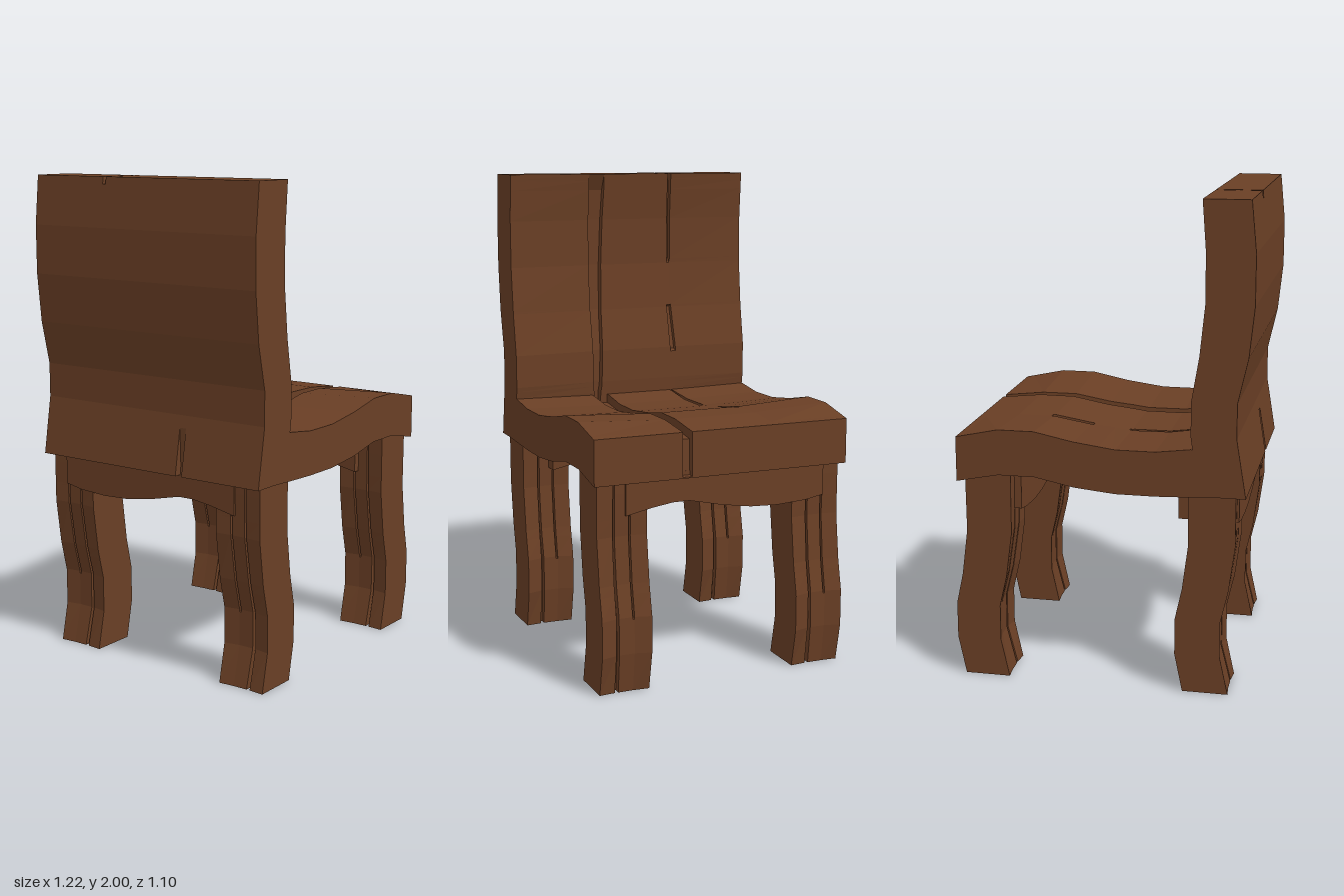
import * as THREE from 'three';

const wood = new THREE.MeshStandardMaterial({ color: 0x6a3f25, flatShading: true });

// Piecewise-linear lookup; rows are [u, ...values], u increasing
function sample(rows, u) {
  if (u <= rows[0][0]) return rows[0].slice(1);
  for (let i = 1; i < rows.length; i++) {
    const a = rows[i - 1], b = rows[i];
    if (u <= b[0]) {
      const t = (u - a[0]) / (b[0] - a[0]);
      return a.slice(1).map((v, k) => v + (b[k + 1] - v) * t);
    }
  }
  return rows[rows.length - 1].slice(1);
}

// Curved board with carved grooves.
// stations: [u, ax, ay, bx, by], a = front/top face point, b = rear/underside point
// grooves: sorted by z, each a list of [u, z0, z1, depthA, depthB] (depths as part of thickness)
// dip: [u, dipA, dipB], hollowing of the faces towards the grooves
function board(name, half, stations, grooves, dip) {
  const us = [...new Set([stations, dip, ...grooves].flat().map(r => r[0]))]
    .filter(u => u >= stations[0][0] && u <= stations[stations.length - 1][0])
    .sort((p, q) => p - q);
  const rows = us.map(u => {
    const [ax, ay, bx, by] = sample(stations, u);
    const [pa, pb] = sample(dip, u);
    const section = [[-half, 0, 0]];
    for (const g of grooves) {
      const [z0, z1, da, db] = sample(g, u);
      section.push([z0, pa, pb], [z0, pa + da, pb + db], [z1, pa + da, pb + db], [z1, pa, pb]);
    }
    section.push([half, 0, 0]);
    const at = (f, z) => new THREE.Vector3(ax + (bx - ax) * f, ay + (by - ay) * f, z);
    return { a: section.map(s => at(s[1], s[0])), b: section.map(s => at(1 - s[2], s[0])) };
  });
  const pos = [];
  const tri = (p, q, r) => {
    const n = q.clone().sub(p).cross(r.clone().sub(p));
    if (n.length() > 1e-9) for (const v of [p, q, r]) pos.push(v.x, v.y, v.z);
  };
  const quad = (p, q, r, s) => { tri(p, q, r); tri(p, r, s); };
  const first = rows[0], last = rows[rows.length - 1], n = first.a.length;
  for (let s = 0; s < rows.length - 1; s++) {
    const c = rows[s], d = rows[s + 1];
    for (let i = 0; i < n - 1; i++) {
      quad(c.a[i], c.a[i + 1], d.a[i + 1], d.a[i]);
      quad(c.b[i + 1], c.b[i], d.b[i], d.b[i + 1]);
    }
    quad(c.b[0], c.a[0], d.a[0], d.b[0]);
    quad(c.a[n - 1], c.b[n - 1], d.b[n - 1], d.a[n - 1]);
  }
  for (let i = 0; i < n - 1; i++) {
    quad(first.a[i + 1], first.a[i], first.b[i], first.b[i + 1]);
    quad(last.a[i], last.a[i + 1], last.b[i + 1], last.b[i]);
  }
  const geo = new THREE.BufferGeometry();
  geo.setAttribute('position', new THREE.Float32BufferAttribute(pos, 3));
  geo.computeVertexNormals();
  const mesh = new THREE.Mesh(geo, wood);
  mesh.name = name;
  return mesh;
}

// Upright boards run downwards, so u = -y
const upright = rows => rows.map(([y, xa, xb]) => [-y, xa, y, xb, y]);
const down = rows => rows.map(([y, ...rest]) => [-y, ...rest]);

function makeBackrest() {
  return board('backrest', 0.55,
    upright([[2, -0.405, -0.59], [1.8, -0.42, -0.61], [1.6, -0.42, -0.61], [1.4, -0.4, -0.59],
      [1.22, -0.37, -0.55], [1.08, -0.37, -0.55], [0.84, -0.405, -0.59]]),
    [
      // short split cracks
      down([[2, -0.2, -0.185, 0.7, 0.25], [1.975, -0.2, -0.185, 0.7, 0.25],
        [1.97, -0.2, -0.185, 0.15, 0], [1.62, -0.205, -0.19, 0.12, 0], [1.6, -0.2, -0.19, 0, 0],
        [1.41, -0.205, -0.185, 0, 0], [1.4, -0.205, -0.185, 0.12, 0],
        [1.21, -0.215, -0.19, 0.12, 0], [1.2, -0.215, -0.19, 0, 0]]),
      // long gap between planks
      down([[2, 0.12, 0.19, 0, 0], [1.93, 0.12, 0.19, 0.15, 0], [1.06, 0.145, 0.185, 0.2, 0],
        [1.03, 0.15, 0.18, 0.2, 0], [0.84, 0.15, 0.18, 0.2, 0.2]]),
    ],
    down([[2, 0, 0], [1.8, 0.04, 0], [1.4, 0.1, 0], [1.08, 0.1, 0], [0.84, 0, 0]]));
}

function makeSeat() {
  return board('seat', 0.55,
    [[-0.53, -0.53, 1.03, -0.53, 0.842], [-0.37, -0.37, 1.03, -0.37, 0.835],
      [-0.23, -0.23, 1.012, -0.23, 0.83], [-0.07, -0.07, 1.012, -0.07, 0.83],
      [0.1, 0.1, 1.035, 0.1, 0.847], [0.26, 0.26, 1.068, 0.26, 0.88],
      [0.41, 0.41, 1.068, 0.41, 0.88], [0.585, 0.585, 1.03, 0.585, 0.845]],
    [
      // short split cracks
      [[-0.37, -0.195, -0.188, 0.1, 0], [-0.23, -0.205, -0.188, 0.14, 0],
        [-0.08, -0.21, -0.188, 0.14, 0], [-0.06, -0.205, -0.195, 0, 0], [0.09, -0.215, -0.19, 0, 0],
        [0.1, -0.215, -0.19, 0.14, 0], [0.26, -0.22, -0.195, 0.14, 0], [0.27, -0.22, -0.2, 0, 0]],
      // long gap between planks, open at the front edge
      [[-0.37, 0.12, 0.19, 0.2, 0], [0.555, 0.14, 0.18, 0.2, 0],
        [0.56, 0.14, 0.18, 0.97, 0], [0.585, 0.14, 0.18, 0.97, 0]],
    ],
    [[-0.4, 0.05, 0], [0, 0.06, 0], [0.26, 0.1, 0], [0.41, 0.1, 0], [0.585, 0, 0]]);
}

function makeLeg(name, x, z) {
  const leg = board(name, 0.105,
    upright([[0.88, 0.555, 0.365], [0.63, 0.553, 0.365], [0.44, 0.577, 0.39],
      [0.31, 0.605, 0.42], [0.16, 0.605, 0.42], [0, 0.572, 0.385]]),
    [
      // half-length crack
      down([[0.71, -0.038, -0.03, 0, 0], [0.7, -0.038, -0.03, 0.12, 0.12],
        [0.31, -0.038, -0.03, 0.12, 0.12], [0.3, -0.038, -0.03, 0, 0]]),
      // full-length crack, wider at the foot
      down([[0.88, 0.03, 0.036, 0.15, 0.15], [0.4, 0.028, 0.038, 0.15, 0.15],
        [0, 0.025, 0.04, 0.15, 0.15]]),
    ],
    down([[0.8, 0.02, 0.02], [0.31, 0.1, 0.06], [0.16, 0.1, 0.06], [0, 0.03, 0.03]]));
  leg.position.set(x, 0, z);
  return leg;
}

// Cross rail with a wavy lower edge
function makeRail(name, x0, x1) {
  const edge = [[-0.46, 0.715], [-0.38, 0.7], [-0.25, 0.692], [-0.13, 0.697], [0, 0.717],
    [0.14, 0.748], [0.21, 0.748], [0.3, 0.735], [0.41, 0.712]];
  const shape = new THREE.Shape([[-0.46, 0.87], ...edge, [0.41, 0.87]]
    .map(([z, y]) => new THREE.Vector2(-z, y)));
  const geo = new THREE.ExtrudeGeometry(shape, { depth: x1 - x0, bevelEnabled: false });
  geo.rotateY(Math.PI / 2).translate(x0, 0, 0);
  const rail = new THREE.Mesh(geo, wood);
  rail.name = name;
  return rail;
}

export function createModel() {
  const chair = new THREE.Group();
  chair.name = 'chair';
  chair.add(makeBackrest(), makeSeat());
  for (const z of [-0.425, 0.425]) {
    chair.add(makeLeg('frontLeg', 0, z), makeLeg('rearLeg', -0.915, z));
  }
  chair.add(makeRail('frontRail', 0.34, 0.56), makeRail('rearRail', -0.555, -0.31));
  return chair;
}
